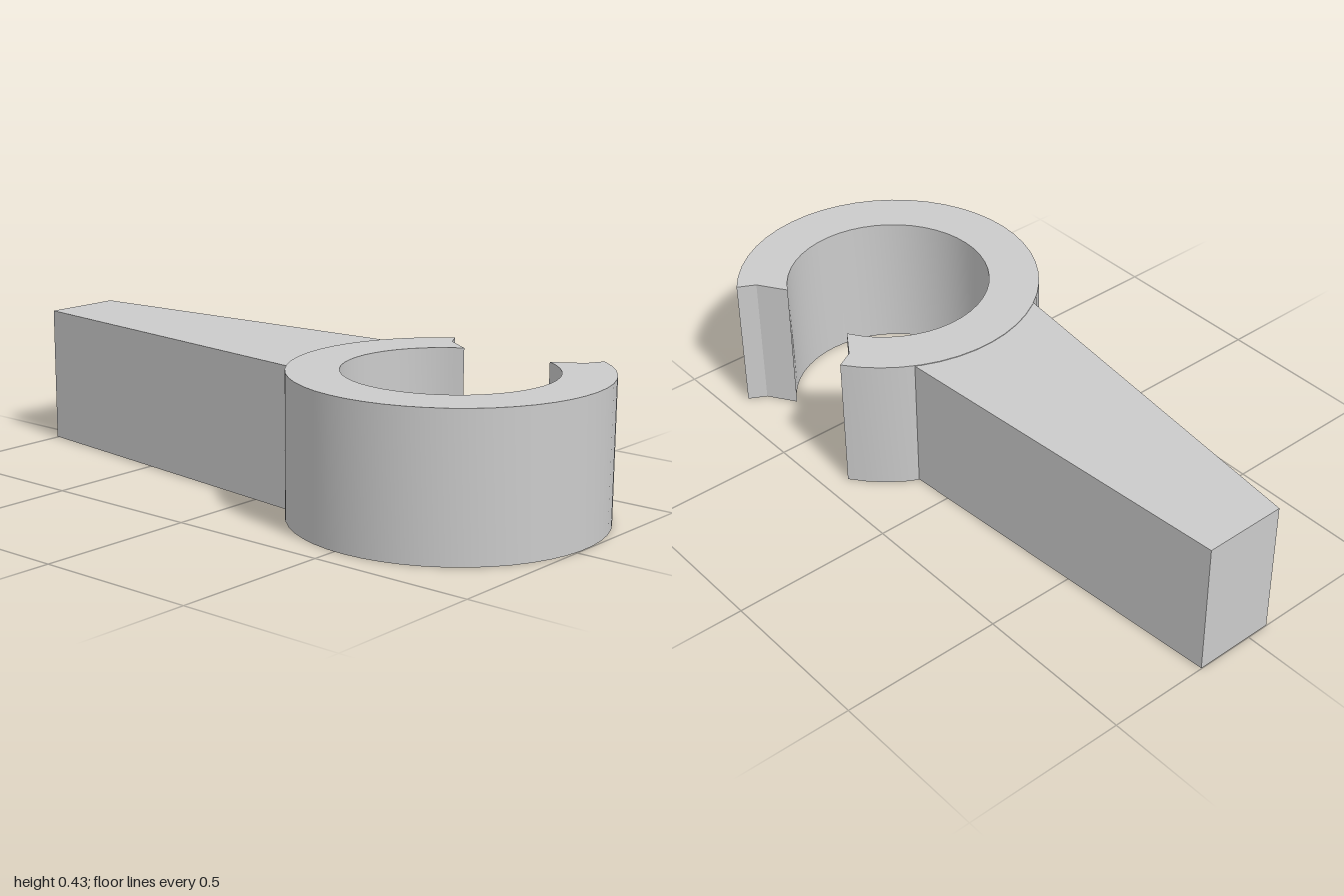
import * as THREE from 'three';
import { toCreasedNormals } from 'three/addons/utils/BufferGeometryUtils.js';

const CX = 0.533, CZ = -0.044;            // ring centre
const R_OUT = 0.466, R_IN = 0.312, HEIGHT = 0.43;

// Points on an arc about the ring centre, in plan (x, -z), degrees
function arc(radius, from, to, steps, cx = CX, cy = -CZ) {
  return Array.from({ length: steps + 1 }, (_, i) => {
    const a = THREE.MathUtils.degToRad(from + (to - from) * i / steps);
    return new THREE.Vector2(cx + radius * Math.cos(a), cy + radius * Math.sin(a));
  });
}

// Extrude a plan outline upward from height y
function slab(name, points, y, height, material) {
  const geometry = new THREE.ExtrudeGeometry(new THREE.Shape(points), { depth: height, bevelEnabled: false });
  geometry.rotateX(-Math.PI / 2).translate(0, y, 0);
  const mesh = new THREE.Mesh(toCreasedNormals(geometry, 0.4), material);
  mesh.name = name;
  return mesh;
}

export function createModel() {
  const group = new THREE.Group();
  group.name = 'clipWithHandle';
  const material = new THREE.MeshStandardMaterial({ color: 0xcccccc });

  // Open ring: its mouth is a slightly scooped cut at the back
  const mouthLeft = new THREE.Vector2(0.296, 0.373);
  const mouthRight = new THREE.Vector2(2 * CX - mouthLeft.x, mouthLeft.y);
  slabInto('clipRing', [
    ...arc(R_OUT, 124.8, 415.2, 40),
    mouthRight,
    ...arc(R_IN, 421, 119, 40),
    mouthLeft,
  ], 0, HEIGHT);

  // Tapered handle, its end buried inside the ring wall
  slabInto('handle', [
    new THREE.Vector2(-1, 0.185),
    new THREE.Vector2(-1, -0.07),
    new THREE.Vector2(0.145, -0.211),
    ...arc(0.4, 213, 151, 10),
    new THREE.Vector2(0.13, 0.265),
  ], 0.002, HEIGHT - 0.004);

  function slabInto(name, points, y, height) {
    group.add(slab(name, points, y, height, material));
  }
  return group;
}
